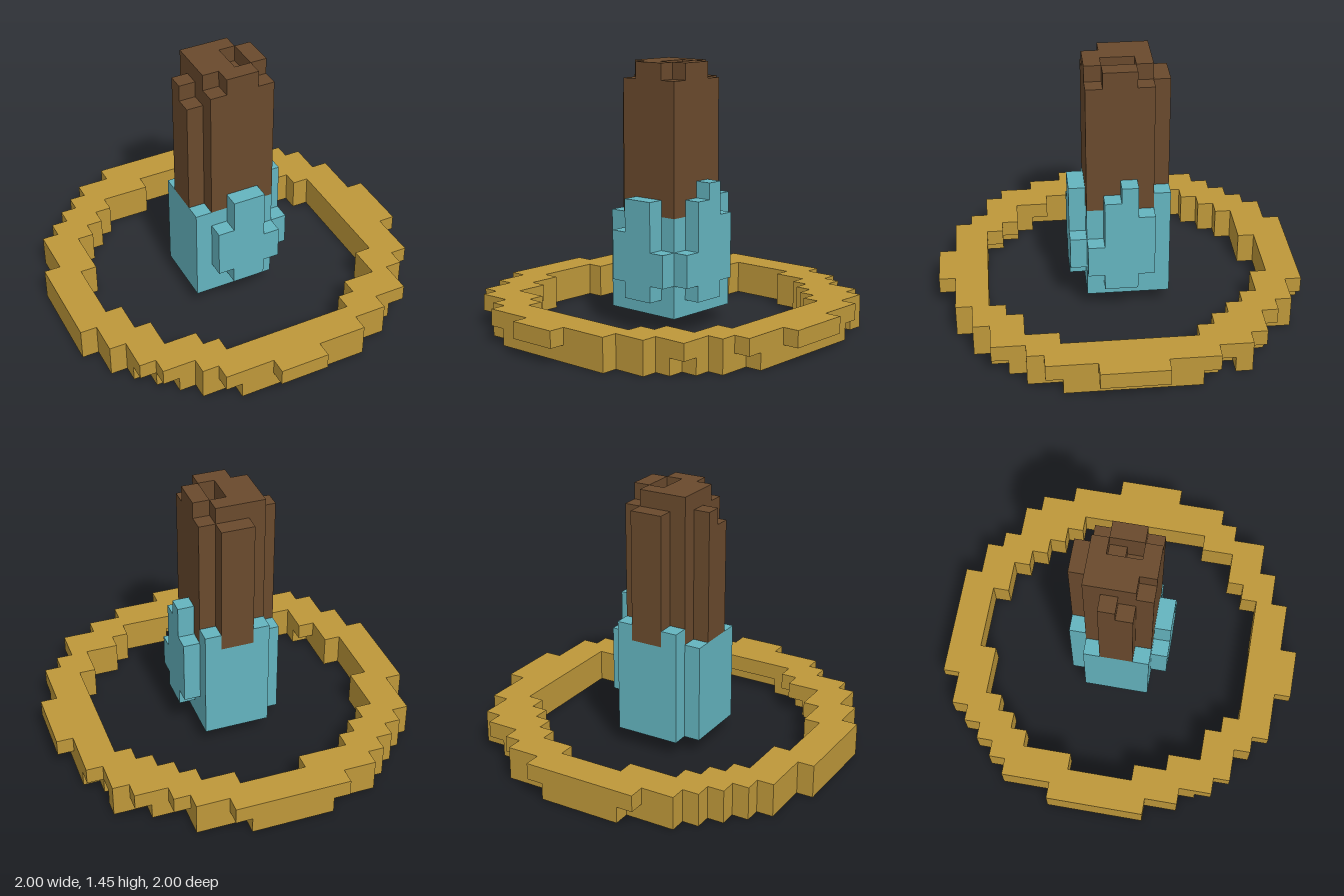
import * as THREE from 'three';
import { mergeGeometries } from 'three/addons/utils/BufferGeometryUtils.js';

const U = 1 / 11; // edge of one cube

const material = (name, color) => {
  const m = new THREE.MeshStandardMaterial({ color });
  m.name = name;
  return m;
};

// Merge blocks given in cube units as [x0, x1, y0, y1, z0, z1]
function blocks(name, list, mat) {
  const geometry = mergeGeometries(list.map(([x0, x1, y0, y1, z0, z1]) =>
    new THREE.BoxGeometry((x1 - x0) * U, (y1 - y0) * U, (z1 - z0) * U)
      .translate((x0 + x1) / 2 * U, (y0 + y1) / 2 * U, (z0 + z1) / 2 * U)));
  const mesh = new THREE.Mesh(geometry, mat);
  mesh.name = name;
  return mesh;
}

// One ring layer, row by row from the back: outer span and inner gap
function ringLayer(outer, gap, firstGap, y) {
  const list = [];
  outer.forEach(([a, b], i) => {
    const z = i - 11, hole = gap[i - firstGap];
    if (hole) list.push([a, hole[0], y, y + 1, z, z + 1], [hole[1], b, y, y + 1, z, z + 1]);
    else list.push([a, b, y, y + 1, z, z + 1]);
  });
  return list;
}

export function createModel() {
  const group = new THREE.Group();
  const gold = material('gold', 0xbe983a);
  const teal = material('teal', 0x64b4bf);
  const brown = material('brown', 0x6a4a2d);

  // Ring: upper layer, and a lower layer with clipped corners
  const upper = [[-4, 3], [-6, 5], [-7, 6], [-8, 8], [-9, 9], [-10, 9], [-10, 10], [-10, 10],
    [-11, 10], [-11, 11], [-11, 11], [-11, 11], [-11, 11], [-11, 10], [-10, 10], [-10, 10],
    [-9, 9], [-9, 8], [-8, 8], [-6, 6], [-5, 4], [-2, 1]];
  const upperGap = [[-2, 2], [-5, 4], [-6, 5], [-7, 6], [-8, 7], [-8, 8], [-8, 8], [-9, 8], [-9, 8],
    [-9, 8], [-9, 8], [-8, 8], [-8, 8], [-7, 7], [-7, 7], [-5, 5], [-4, 4]];
  const lower = [[-3, 2], [-6, 5], [-7, 5], [-8, 7], [-9, 9], [-10, 8], [-10, 9], [-10, 10],
    [-11, 10], [-11, 10], [-11, 10], [-11, 10], [-11, 10], [-11, 10], [-10, 10], [-10, 9],
    [-9, 9], [-8, 8], [-7, 7], [-6, 6], [-4, 4]];
  const lowerGap = upperGap.map((g) => [...g]);
  lowerGap[13][0] = -8;
  lowerGap[15][0] = -6;
  lowerGap[16][0] = -5;
  lowerGap.push([-3, 1]);
  group.add(blocks('ringUpperLayer', ringLayer(upper, upperGap, 2, 1), gold));
  group.add(blocks('ringLowerLayer', ringLayer(lower, lowerGap, 2, 0), gold));

  // Sleeve: core block with columns of uneven height on each side
  group.add(blocks('sleeve', [
    [-2, 2, 1, 7, -2, 2],
    // front
    [-2, -1, 3, 6, 2, 3], [-1, 1, 2, 8, 2, 3], [1, 2, 3, 5, 2, 3],
    // left side
    [2, 3, 3, 5, 1, 2], [2, 3, 2, 8, 0, 1], [2, 3, 2, 9, -1, 0], [2, 3, 3, 7, -2, -1],
    // back
    [-2, -1, 1, 8, -3, -2], [-1, 1, 1, 7, -3, -2], [1, 2, 1, 8, -3, -2],
    // right side
    [-3, -2, 1, 7, -2, 2],
  ], teal));

  // Post: stepped top with a small pit, ribs on the back and right side
  group.add(blocks('post', [
    [-2, 2, 7, 14, -2, 2],
    [-2, 0, 14, 15, -2, 2], [1, 2, 14, 15, -2, 2], [0, 1, 14, 15, -2, 0], [0, 1, 14, 15, 1, 2],
    [-2, 1, 15, 16, -2, -1], [-2, 0, 15, 16, -1, 1], [1, 2, 15, 16, -1, 1], [-1, 1, 15, 16, 1, 2],
  ], brown));
  group.add(blocks('postRibs', [
    [-1, 1, 7, 15, -3, -2],
    [-3, -2, 7, 14, 0, 1], [-3, -2, 7, 15, -1, 0],
  ], brown));

  return group;
}
